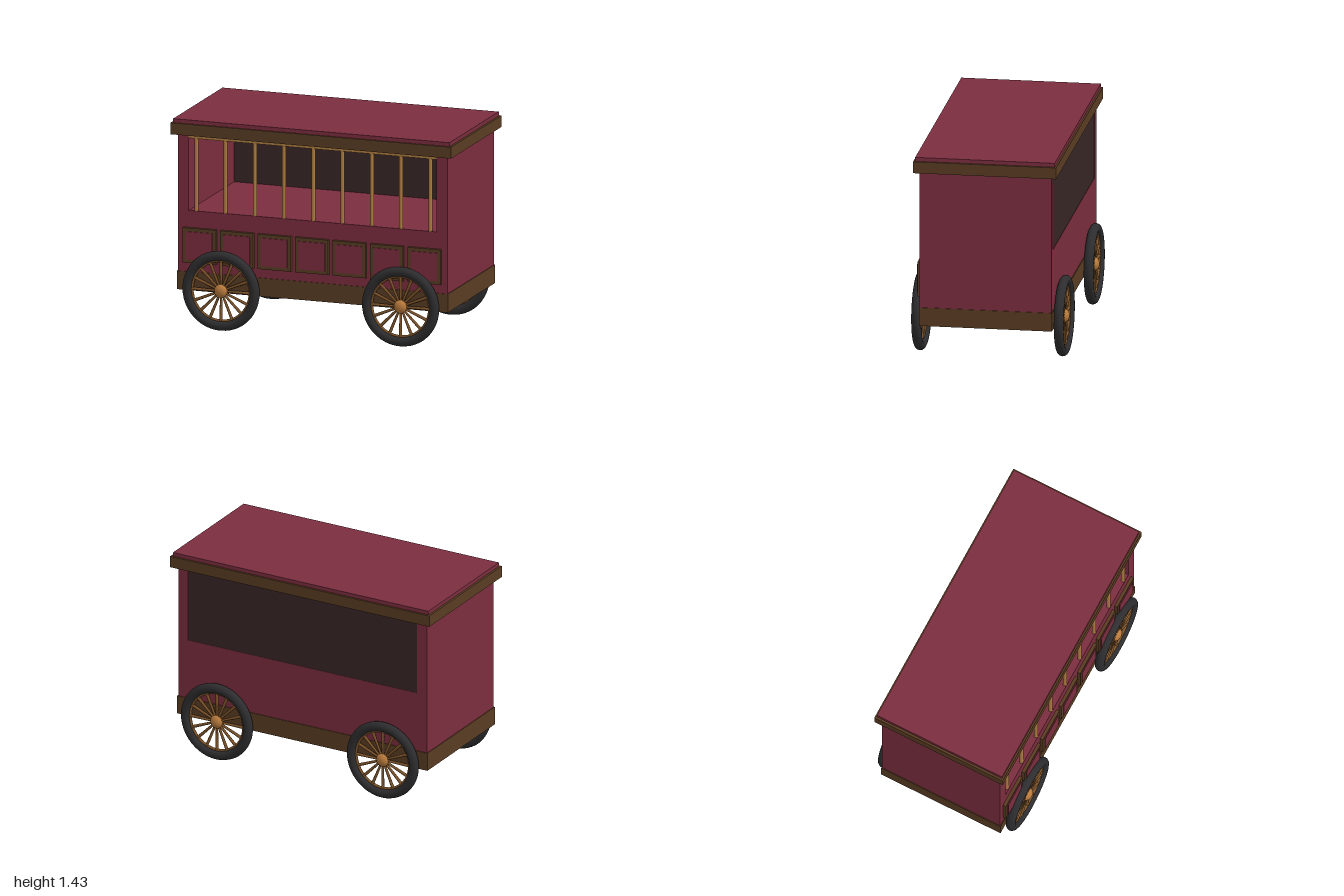
import * as THREE from 'three';

const mat = (name, color) => {
  const m = new THREE.MeshStandardMaterial({ color });
  m.name = name;
  return m;
};

export function createModel() {
  const wine = mat('wine red paint', 0x7b2d3e);
  const wood = mat('dark wood', 0x593c22);
  const brass = mat('golden wood', 0xaf7d40);
  const spokeWood = mat('spoke wood', 0x80552a);
  const copper = mat('copper hub', 0xb87a3c);
  const rubber = mat('black rubber', 0x2d2d2f);
  const dark = mat('dark back panel', 0x382626);

  const wagon = new THREE.Group();
  wagon.name = 'wagon';

  const add = (parent, name, geometry, material, x = 0, y = 0, z = 0) => {
    const mesh = new THREE.Mesh(geometry, material);
    mesh.name = name;
    mesh.position.set(x, y, z);
    parent.add(mesh);
    return mesh;
  };
  // Box given by its lower and upper corners
  const box = (parent, name, material, [x0, y0, z0], [x1, y1, z1]) =>
    add(parent, name, new THREE.BoxGeometry(x1 - x0, y1 - y0, z1 - z0), material,
      (x0 + x1) / 2, (y0 + y1) / 2, (z0 + z1) / 2);

  // Chassis, lower body, end walls and roof
  box(wagon, 'chassis', wood, [-0.965, 0.258, -0.45], [0.965, 0.385, 0.45]);
  box(wagon, 'lowerBody', wine, [-0.96, 0.385, -0.445], [0.96, 0.805, 0.445]);
  for (const s of [-1, 1]) {
    box(wagon, 'endWall', wine, [s * 0.922 - 0.038, 0.805, -0.445], [s * 0.922 + 0.038, 1.327, 0.445]);
  }
  box(wagon, 'roofTrim', wood, [-1, 1.327, -0.484], [1, 1.406, 0.484]);
  box(wagon, 'roof', wine, [-0.985, 1.406, -0.472], [0.985, 1.433, 0.472]);

  // Closed back of the display space
  box(wagon, 'backPanel', dark, [-0.884, 0.805, -0.443], [0.884, 1.327, -0.425]);

  // Front bars under a header rail
  box(wagon, 'headerRail', brass, [-0.884, 1.302, 0.415], [0.884, 1.327, 0.445]);
  const barGeo = new THREE.CylinderGeometry(0.014, 0.014, 0.5, 10);
  for (let i = 0; i < 9; i++) add(wagon, 'bar', barGeo, brass, -0.835 + i * 0.2085, 1.054, 0.43);

  // Seven framed panels along the front
  const rect = (shape, w, h) => {
    shape.moveTo(-w, -h);
    shape.lineTo(w, -h);
    shape.lineTo(w, h);
    shape.lineTo(-w, h);
    shape.closePath();
    return shape;
  };
  const frameShape = rect(new THREE.Shape(), 0.118, 0.12);
  frameShape.holes.push(rect(new THREE.Path(), 0.094, 0.096));
  const frameGeo = new THREE.ExtrudeGeometry(frameShape, { depth: 0.024, bevelEnabled: false });
  const insetGeo = new THREE.BoxGeometry(0.188, 0.192, 0.03);
  for (let i = -3; i <= 3; i++) {
    add(wagon, 'panelFrame', frameGeo, wood, i * 0.267, 0.569, 0.443);
    add(wagon, 'panelInset', insetGeo, wine, i * 0.267, 0.569, 0.458);
  }

  // Spoked wheels
  const tireGeo = new THREE.TorusGeometry(0.24, 0.033, 14, 48);
  const rimGeo = new THREE.TorusGeometry(0.206, 0.01, 8, 48);
  const hubGeo = new THREE.SphereGeometry(0.047, 20, 14).scale(1, 1, 0.75);
  const spokeGeo = new THREE.CylinderGeometry(0.011, 0.008, 0.19, 8).translate(0, 0.115, 0);
  const spokes = 16;
  for (const x of [-0.64, 0.64]) {
    for (const side of [-1, 1]) {
      const wheel = new THREE.Group();
      wheel.name = 'wheel';
      wheel.position.set(x, 0.28, side * 0.482);
      add(wheel, 'tire', tireGeo, rubber);
      add(wheel, 'rim', rimGeo, spokeWood);
      add(wheel, 'hub', hubGeo, copper);
      for (let i = 0; i < spokes; i++) {
        add(wheel, 'spoke', spokeGeo, spokeWood).rotation.z = (i / spokes) * Math.PI * 2;
      }
      wagon.add(wheel);
    }
  }
  return wagon;
}
